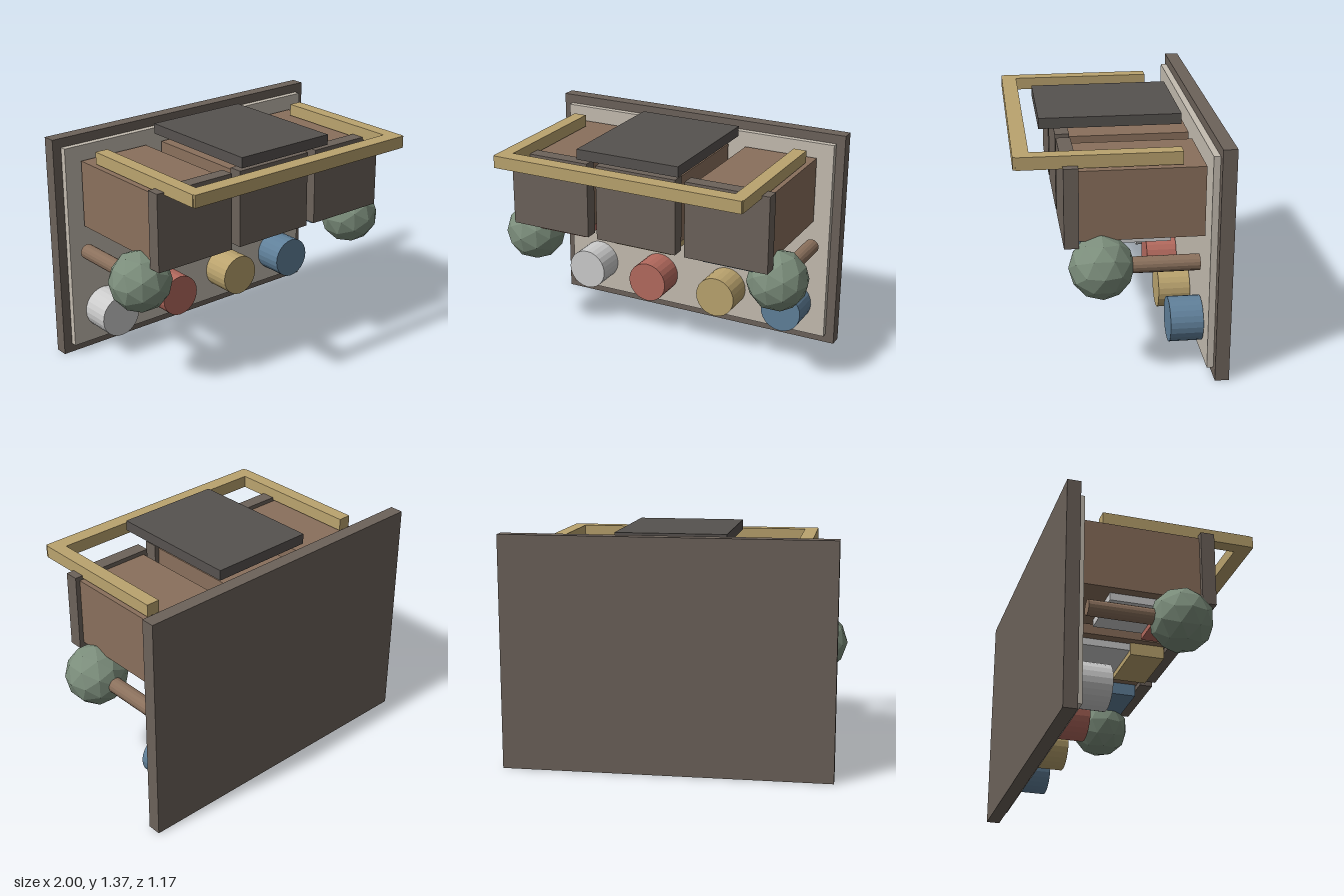
import * as THREE from 'three';

const mat = (color) => new THREE.MeshStandardMaterial({ color, flatShading: true });

export function createModel() {
  const model = new THREE.Group();
  const dark = mat(0x6c625a), slate = mat(0x56524f), cream = mat(0xc4bcb0);
  const brown = mat(0x8a705c), gold = mat(0xbaa36e), green = mat(0x7c8e7c);
  const white = mat(0xcccccc), red = mat(0xb46a5e), blue = mat(0x60809a);

  const add = (name, geometry, material, x, y, z) => {
    const mesh = new THREE.Mesh(geometry, material);
    mesh.name = name;
    mesh.position.set(x, y, z);
    model.add(mesh);
    return mesh;
  };
  // Box given by its limits on each axis
  const box = (name, material, [x0, x1], [y0, y1], [z0, z1]) =>
    add(name, new THREE.BoxGeometry(x1 - x0, y1 - y0, z1 - z0), material,
      (x0 + x1) / 2, (y0 + y1) / 2, (z0 + z1) / 2);
  // Cylinder lying along z
  const rod = (name, material, r, sides, x, y, z0, z1) => {
    const g = new THREE.CylinderGeometry(r, r, z1 - z0, sides).rotateX(Math.PI / 2);
    return add(name, g, material, x, y, (z0 + z1) / 2);
  };

  // Upright board with a pale inset panel
  box('backBoard', dark, [-0.96, 0.96], [0, 1.37], [-0.585, -0.505]);
  box('backPanel', cream, [-0.905, 0.905], [0.055, 1.315], [-0.505, -0.468]);

  // Three drawers, each with a tray and a coloured block underneath
  [red, gold, blue].forEach((color, i) => {
    const x = (i - 1) * 0.575;
    box('drawerBody', brown, [x - 0.23, x + 0.23], [0.82, 1.225], [-0.455, 0.24]);
    box('drawerFront', dark, [x - 0.258, x + 0.258], [0.79, 1.25], [0.24, 0.322]);
    box('drawerTray', white, [x - 0.17, x + 0.17], [0.775, 0.82], [-0.275, 0.02]);
    box('drawerBlock', color, [x - 0.185, x + 0.185], [0.742, 0.82], [0.02, 0.23]);
  });

  // Flat lid over the middle and a three-sided rail round the top
  box('topSlab', slate, [-0.323, 0.323], [1.308, 1.37], [-0.395, 0.418]);
  box('frontRail', gold, [-0.78, 0.78], [1.235, 1.308], [0.495, 0.585]);
  for (const s of [-1, 1]) {
    const rail = box('sideRail', gold, [0.705, 0.785], [1.235, 1.308], [-0.33, 0.57]);
    rail.position.x *= s;
    // Side arms ending in faceted balls
    rod('arm', brown, 0.046, 16, s * 0.812, 0.67, -0.425, 0.1);
    add('ball', new THREE.IcosahedronGeometry(0.183, 1), green, s * 0.815, 0.67, 0.117);
  }

  // Row of round knobs along the bottom
  [[-0.69, white], [-0.243, red], [0.24, gold], [0.685, blue]].forEach(([x, color]) =>
    rod('knob', color, 0.129, 24, x, 0.262, -0.462, -0.275));

  return model;
}
